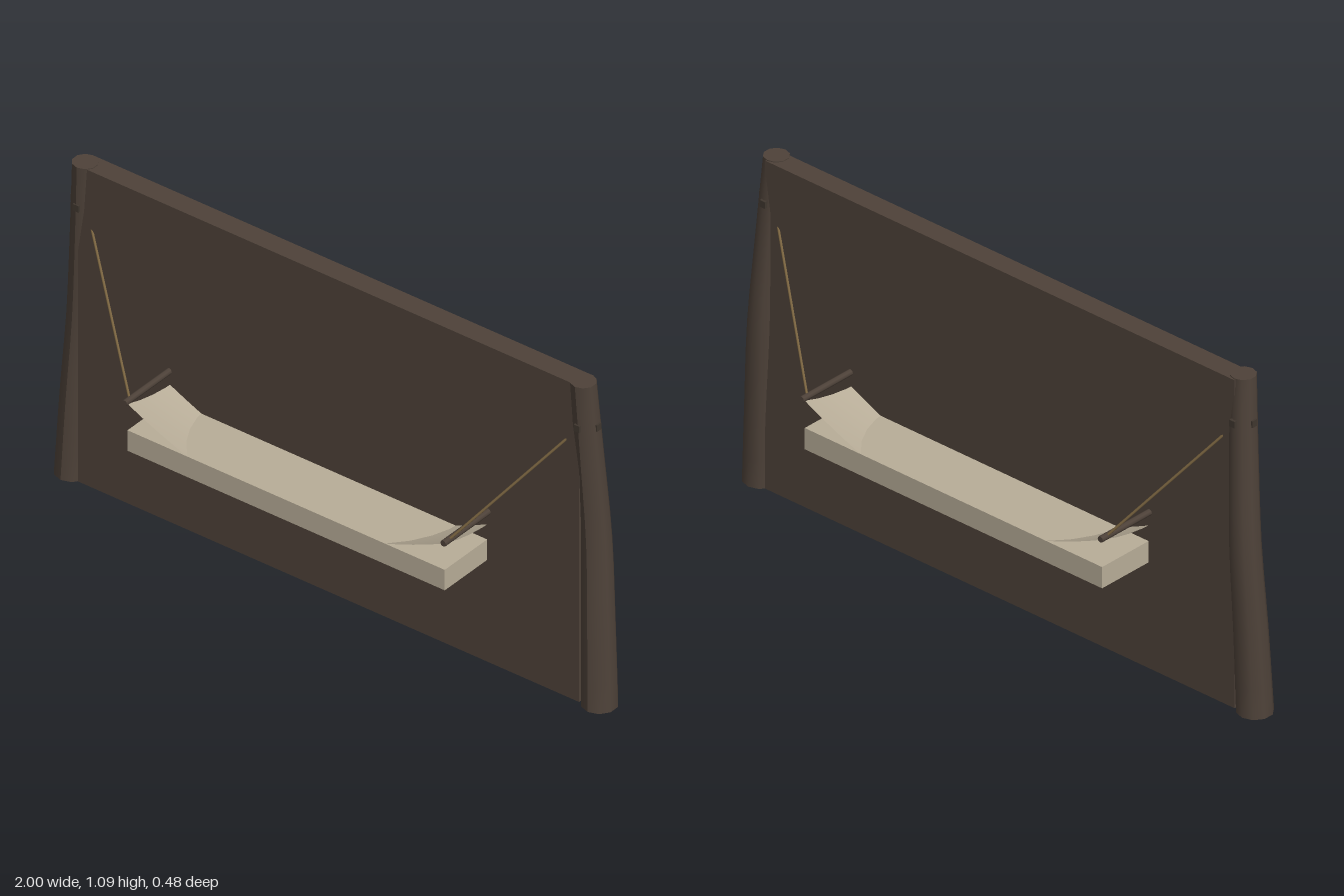
import * as THREE from 'three';

const mat = (name, color, side = THREE.FrontSide) => {
  const m = new THREE.MeshStandardMaterial({ color, side });
  m.name = name;
  return m;
};

export function createModel() {
  const wood = mat('dark wood', 0x4e4239);
  const dark = mat('dark fittings', 0x40372f);
  const linen = mat('linen', 0xb8ad98);
  const cloth = mat('linen cloth', 0xb8ad98, THREE.DoubleSide);
  const ropeMat = mat('rope', 0x7a6440);

  const model = new THREE.Group();
  model.name = 'hammock';
  const add = (name, geometry, material, x = 0, y = 0, z = 0) => {
    const mesh = new THREE.Mesh(geometry, material);
    mesh.name = name;
    mesh.position.set(x, y, z);
    model.add(mesh);
    return mesh;
  };

  // Straight rod between two points
  const rod = (name, a, b, radius, material) => {
    const dir = b.clone().sub(a);
    const mesh = add(name, new THREE.CylinderGeometry(radius, radius, dir.length(), 8), material);
    mesh.position.copy(a).add(b).multiplyScalar(0.5);
    mesh.quaternion.setFromUnitVectors(new THREE.Vector3(0, 1, 0), dir.normalize());
  };

  // Bent, tapering post: centre line bows in z and leans inwards
  const bow = new THREE.CatmullRomCurve3([
    new THREE.Vector3(0.947, 0.004, 0),
    new THREE.Vector3(0.937, 0.28, -0.007),
    new THREE.Vector3(0.924, 0.55, -0.015),
    new THREE.Vector3(0.909, 0.82, -0.005),
    new THREE.Vector3(0.895, 1.09, 0.008),
  ]);
  const post = (side) => {
    const g = new THREE.CylinderGeometry(1, 1, 1, 10, 12);
    const p = g.attributes.position;
    for (let i = 0; i < p.count; i++) {
      const t = p.getY(i) + 0.5;
      const c = bow.getPoint(t);
      const r = 0.055 - 0.016 * t;
      p.setXYZ(i, side * c.x + p.getX(i) * r, c.y, c.z + p.getZ(i) * r);
    }
    g.computeVertexNormals();
    return g;
  };

  // Wall between the posts
  add('backPanel', new THREE.BoxGeometry(1.8, 1.08, 0.068), wood, 0, 0.547, 0);

  for (const s of [-1, 1]) {
    add('post', post(s), wood);

    // Crossed pegs that hold the ropes
    add('pegAcross', new THREE.BoxGeometry(0.092, 0.022, 0.02), dark, s * 0.9, 0.948, 0);
    add('pegThrough', new THREE.BoxGeometry(0.02, 0.022, 0.092), dark, s * 0.9, 0.948, 0);

    // Spreader bar and its two ropes
    rod('spreaderBar', new THREE.Vector3(s * 0.573, 0.522, -0.24),
      new THREE.Vector3(s * 0.573, 0.522, 0.24), 0.01, wood);
    for (const z of [-0.215, 0.215]) {
      rod('rope', new THREE.Vector3(s * 0.9, 0.948, 0),
        new THREE.Vector3(s * 0.573, 0.522, z), 0.004, ropeMat);
    }
  }

  // Flat mattress
  add('mattress', new THREE.BoxGeometry(1.14, 0.07, 0.458), linen, 0, 0.39, 0);

  // Sagging cloth: rises to both ends, dips along the middle
  const sling = new THREE.PlaneGeometry(1.14, 0.458, 20, 8).rotateX(-Math.PI / 2);
  const p = sling.attributes.position;
  for (let i = 0; i < p.count; i++) {
    const along = Math.abs(p.getX(i)) / 0.57;
    const across = p.getZ(i) / 0.229;
    p.setY(i, 0.355 + 0.16 * along ** 1.75 - 0.04 * (1 - across * across));
  }
  sling.computeVertexNormals();
  add('sling', sling, cloth);

  return model;
}
